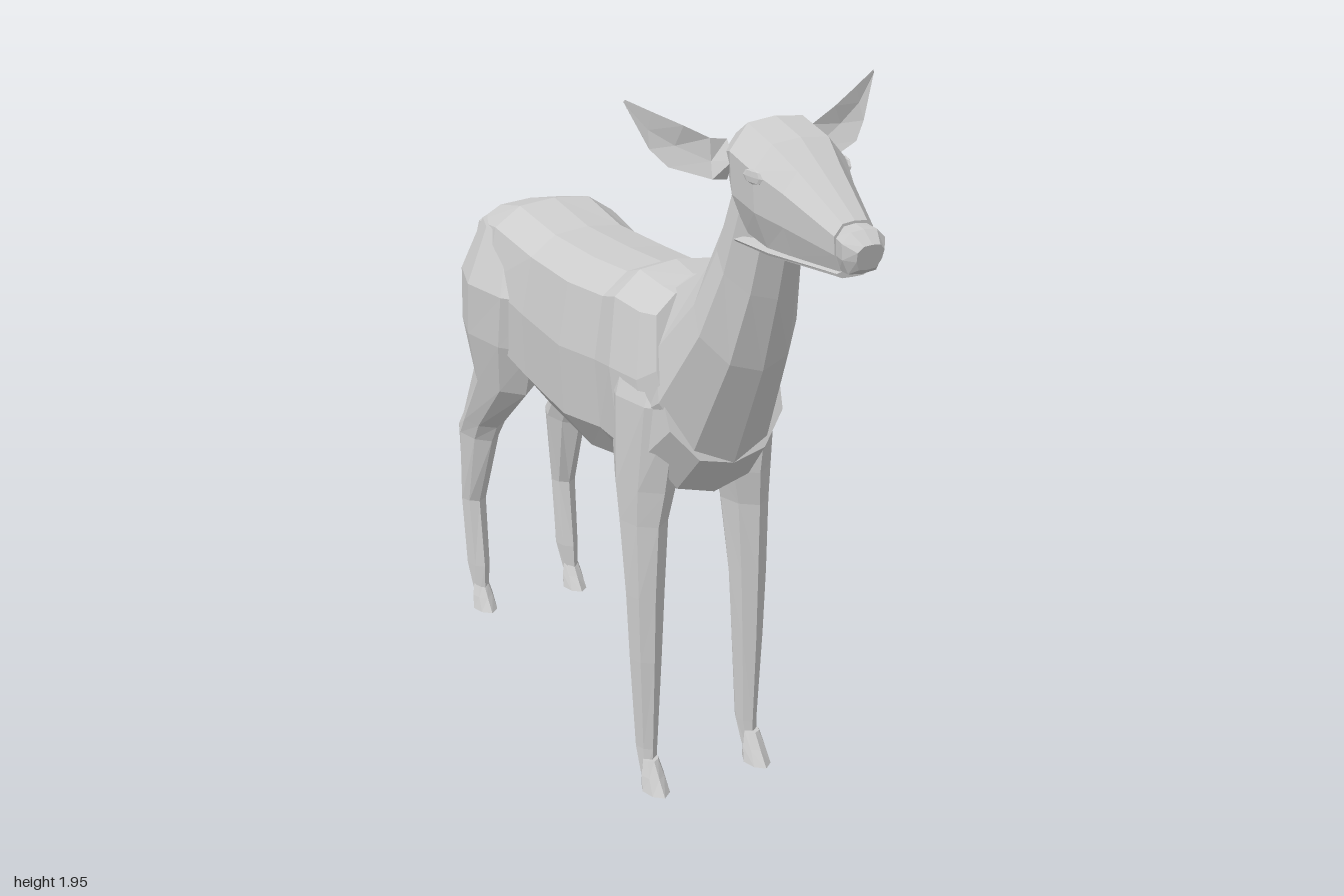
import * as THREE from 'three';

const coat = new THREE.MeshStandardMaterial({ color: 0xcccccc, flatShading: true });
coat.name = 'pale grey coat';

// Skin a list of equal-length rings of [x, y, z], closing both ends with fans.
function loft(name, rings) {
  const n = rings[0].length, pos = [], tris = [];
  rings.forEach(r => r.forEach(p => pos.push(...p)));
  for (let i = 0; i < rings.length - 1; i++) {
    for (let j = 0; j < n; j++) {
      const a = i * n + j, b = i * n + (j + 1) % n;
      tris.push([a, b, b + n], [a, b + n, a + n]);
    }
  }
  [[0, true], [rings.length - 1, false]].forEach(([i, start]) => {
    const c = pos.length / 3;
    for (let k = 0; k < 3; k++) pos.push(rings[i].reduce((s, p) => s + p[k], 0) / n);
    for (let j = 0; j < n; j++) {
      const a = i * n + j, b = i * n + (j + 1) % n;
      tris.push(start ? [b, a, c] : [a, b, c]);
    }
  });
  // Turn the faces outward if the rings ran the other way.
  const v = k => new THREE.Vector3().fromArray(pos, k * 3);
  const volume = tris.reduce((s, [a, b, c]) => s + v(a).dot(v(b).cross(v(c))), 0);
  if (volume < 0) tris.forEach(t => t.reverse());
  const indexed = new THREE.BufferGeometry();
  indexed.setAttribute('position', new THREE.Float32BufferAttribute(pos, 3));
  indexed.setIndex(tris.flat());
  const geometry = indexed.toNonIndexed();
  geometry.computeVertexNormals();
  const mesh = new THREE.Mesh(geometry, coat);
  mesh.name = name;
  return mesh;
}

// Symmetric ring from a top and a bottom point; half is [share of height, share of width].
function spineRing([zTop, yTop, zBottom, yBottom, width], half) {
  const at = ([t, w], side) => [side * w * width, yTop + (yBottom - yTop) * t, zTop + (zBottom - zTop) * t];
  return [...half.map(p => at(p, 1)), ...half.slice(1, -1).reverse().map(p => at(p, -1))];
}

// Eight-sided level ring for legs: [y, zFront, zBack, xInner, xOuter].
const legOutline = [[0.5, 1], [0.85, 0.8], [1, 0.45], [0.8, 0.12], [0.5, 0], [0.2, 0.12], [0, 0.45], [0.15, 0.8]];
const legRing = ([y, zf, zb, xi, xo], side) =>
  legOutline.map(([u, w]) => [side * (xi + (xo - xi) * u), y, zb + (zf - zb) * w]);

export function createModel() {
  const model = new THREE.Group();
  model.name = 'doe';

  // Torso, from the rump to the chest
  const torsoHalf = [[0, 0], [0.02, 0.5], [0.12, 0.86], [0.42, 1], [0.76, 0.95], [0.95, 0.55], [1, 0]];
  model.add(loft('torso', [
    [-0.88, 1.26, -0.885, 1.03, 0.10],
    [-0.79, 1.35, -0.81, 0.96, 0.19],
    [-0.62, 1.395, -0.62, 0.87, 0.215],
    [-0.40, 1.37, -0.43, 0.82, 0.20],
    [-0.15, 1.38, -0.15, 0.80, 0.21],
    [0.04, 1.395, 0.06, 0.84, 0.20],
    [0.12, 1.425, 0.20, 0.84, 0.21],
    [0.22, 1.41, 0.33, 0.86, 0.19],
    [0.27, 1.40, 0.43, 0.98, 0.17]
  ].map(s => spineRing(s, torsoHalf))));

  // Neck
  const neckHalf = [[0, 0], [0.05, 0.4], [0.35, 0.9], [0.62, 1], [0.9, 0.6], [1, 0]];
  model.add(loft('neck', [
    [0.16, 1.40, 0.34, 0.90, 0.18],
    [0.24, 1.42, 0.43, 0.98, 0.175],
    [0.37, 1.50, 0.56, 1.27, 0.135],
    [0.43, 1.62, 0.62, 1.47, 0.105],
    [0.49, 1.77, 0.66, 1.63, 0.095],
    [0.54, 1.84, 0.66, 1.68, 0.08]
  ].map(s => spineRing(s, neckHalf))));

  // Head, from the poll to the muzzle
  const headHalf = [[0, 0], [0.03, 0.6], [0.25, 1], [0.62, 0.95], [0.96, 0.65], [1, 0]];
  model.add(loft('head', [
    [0.50, 1.85, 0.54, 1.69, 0.085],
    [0.59, 1.90, 0.60, 1.63, 0.12],
    [0.70, 1.875, 0.70, 1.62, 0.122],
    [0.78, 1.83, 0.78, 1.62, 0.092],
    [0.93, 1.745, 0.93, 1.63, 0.052]
  ].map(s => spineRing(s, headHalf))));
  model.add(loft('nose', [
    [0.92, 1.74, 0.92, 1.63, 0.045],
    [0.965, 1.735, 0.965, 1.635, 0.055],
    [1.0, 1.71, 0.985, 1.65, 0.034]
  ].map(s => spineRing(s, headHalf))));

  // Thin jaw edge under the head
  model.add(loft('jaw', [
    [0.60, 1.632, 0.60, 1.615, 0.11],
    [0.72, 1.63, 0.72, 1.61, 0.09],
    [0.93, 1.635, 0.93, 1.618, 0.042]
  ].map(s => spineRing(s, headHalf))));

  // Tail
  model.add(loft('tail', [
    [-0.77, 1.35, -0.79, 1.30, 0.015],
    [-0.86, 1.29, -0.86, 1.20, 0.055],
    [-0.925, 1.255, -0.90, 1.18, 0.055],
    [-0.96, 1.11, -0.95, 1.115, 0.008]
  ].map(s => spineRing(s, [[0, 0], [0.5, 1], [1, 0]]))));

  const hindLeg = [
    [1.32, -0.52, -0.80, 0.05, 0.19],
    [1.16, -0.42, -0.875, 0.04, 0.255],
    [1.00, -0.46, -0.885, 0.05, 0.25],
    [0.84, -0.54, -0.85, 0.06, 0.22],
    [0.66, -0.75, -0.94, 0.085, 0.21],
    [0.60, -0.79, -0.995, 0.09, 0.205],
    [0.36, -0.89, -0.975, 0.115, 0.195],
    [0.14, -0.865, -0.97, 0.12, 0.19],
    [0.04, -0.865, -0.92, 0.135, 0.18]
  ];
  const frontLeg = [
    [1.32, 0.27, 0.12, 0.05, 0.16],
    [1.12, 0.37, 0.06, 0.05, 0.215],
    [0.88, 0.325, 0.11, 0.06, 0.22],
    [0.78, 0.31, 0.14, 0.085, 0.215],
    [0.57, 0.302, 0.185, 0.10, 0.208],
    [0.38, 0.298, 0.195, 0.11, 0.20],
    [0.11, 0.288, 0.21, 0.125, 0.185],
    [0.035, 0.288, 0.245, 0.135, 0.18]
  ];

  for (const side of [1, -1]) {
    const label = side > 0 ? 'left' : 'right';

    // Legs with hooves
    for (const [part, rows, z] of [['HindLeg', hindLeg, -0.92], ['FrontLeg', frontLeg, 0.255]]) {
      model.add(loft(label + part, rows.map(r => legRing(r, side))));
      model.add(loft(label + part + 'Hoof', [
        [0.08, z + 0.045, z + 0.005, 0.135, 0.18],
        [0.04, z + 0.075, z, 0.125, 0.19],
        [0, z + 0.108, z, 0.12, 0.195]
      ].map(r => legRing(r, side))));
    }

    // Ear: upper edge, hollow front, lower edge and back at each step
    model.add(loft(label + 'Ear', [
      [[0.085, 1.84, 0.52], [0.09, 1.80, 0.56], [0.095, 1.75, 0.54], [0.08, 1.79, 0.50]],
      [[0.135, 1.85, 0.53], [0.14, 1.80, 0.545], [0.15, 1.765, 0.57], [0.14, 1.80, 0.50]],
      [[0.20, 1.885, 0.525], [0.22, 1.84, 0.52], [0.25, 1.80, 0.545], [0.22, 1.85, 0.485]],
      [[0.27, 1.92, 0.505], [0.28, 1.88, 0.505], [0.285, 1.84, 0.52], [0.28, 1.88, 0.48]],
      [[0.328, 1.95, 0.487], [0.33, 1.945, 0.487], [0.33, 1.942, 0.487], [0.33, 1.945, 0.482]]
    ].map(ring => ring.map(([x, y, z]) => [side * x, y, z]))));

    // Almond eye, a thin plate on the cheek
    const eye = new THREE.Mesh(new THREE.SphereGeometry(1, 8, 4), coat);
    eye.name = label + 'Eye';
    eye.scale.set(0.005, 0.018, 0.034);
    eye.position.set(side * 0.121, 1.80, 0.70);
    eye.rotation.y = side * -0.18;
    model.add(eye);
  }
  return model;
}
